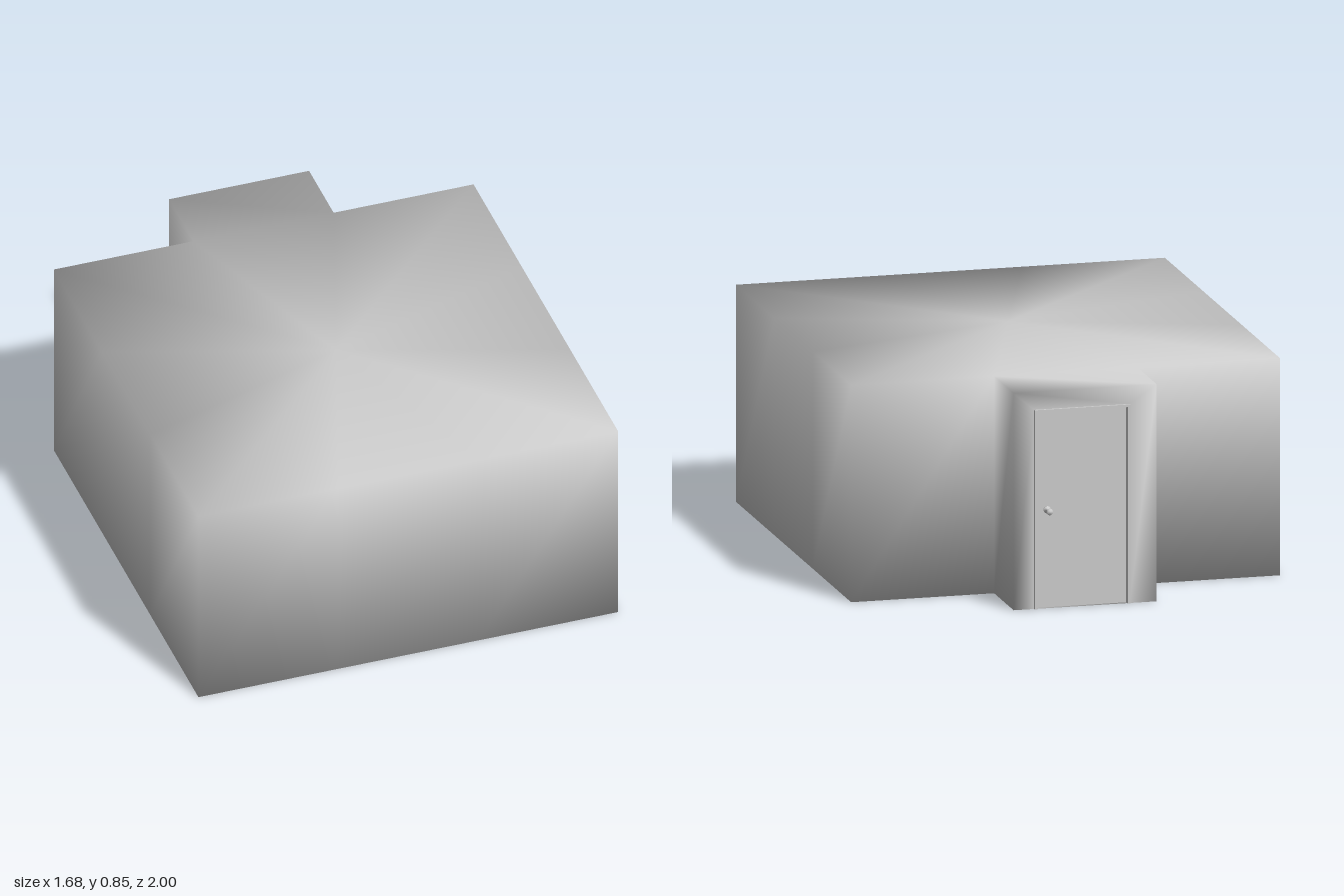
import * as THREE from 'three';
import { mergeVertices } from 'three/addons/utils/BufferGeometryUtils.js';

const H = 0.845, W = 0.84, T = 0.28;      // height, half width, porch half width
const FRONT = 1, BACK = -0.68, PORCH = -0.965;
const DOOR = { l: 0.2, r: -0.175, top: 0.775 };
const grey = new THREE.MeshStandardMaterial({ color: 0xcccccc });
const shellMat = new THREE.MeshStandardMaterial({ color: 0xcccccc, side: THREE.DoubleSide });

function add(parent, name, geometry, x = 0, y = 0, z = 0, material = grey) {
  const mesh = new THREE.Mesh(geometry, material);
  mesh.name = name;
  mesh.position.set(x, y, z);
  parent.add(mesh);
  return mesh;
}

// Room and porch as one closed shell with shared, smooth corner normals
function shellGeometry() {
  const pos = [];
  const tri = (a, b, c) => pos.push(...a, ...b, ...c);
  const quad = (a, b, c, d) => { tri(a, b, c); tri(a, c, d); };
  const at = ([x, z], y) => [x, y, z];
  const wall = (p, q) => quad(at(p, 0), at(q, 0), at(q, H), at(p, H));

  // Room outline, each side in thirds
  const corners = [[-W, FRONT], [W, FRONT], [W, BACK], [-W, BACK]];
  const outline = [];
  corners.forEach((c, i) => {
    const n = corners[(i + 1) % 4];
    for (let k = 0; k < 3; k++) {
      outline.push([c[0] + (n[0] - c[0]) * k / 3, c[1] + (n[1] - c[1]) * k / 3]);
    }
  });

  // Walls, with roof and floor fanned from the centre
  const mid = [0, (FRONT + BACK) / 2];
  outline.forEach((p, i) => {
    const q = outline[(i + 1) % 12];
    if (i !== 7) wall(p, q);              // the middle of the back opens to the porch
    tri(at(mid, H), at(p, H), at(q, H));
    tri(at(mid, 0), at(q, 0), at(p, 0));
  });

  // Porch sides, roof and floor
  const a = outline[7], b = [T, PORCH], c = [-T, PORCH], d = outline[8];
  wall(a, b);
  wall(c, d);
  quad(at(a, H), at(b, H), at(c, H), at(d, H));
  quad(at(d, 0), at(c, 0), at(b, 0), at(a, 0));

  // Porch back wall around the door opening
  const l = [DOOR.l, PORCH], r = [DOOR.r, PORCH];
  quad(at(b, 0), at(l, 0), at(l, DOOR.top), at(b, H));
  quad(at(b, H), at(l, DOOR.top), at(r, DOOR.top), at(c, H));
  quad(at(r, 0), at(c, 0), at(c, H), at(r, DOOR.top));

  const g = new THREE.BufferGeometry();
  g.setAttribute('position', new THREE.Float32BufferAttribute(pos, 3));
  const merged = mergeVertices(g, 1e-4);
  merged.computeVertexNormals();
  return merged;
}

export function createModel() {
  const model = new THREE.Group();
  model.name = 'roomWithPorch';
  add(model, 'roomShell', shellGeometry(), 0, 0, 0, shellMat);

  const door = new THREE.Group();
  door.name = 'door';
  model.add(door);

  // Thin door frame, standing slightly proud of the wall
  const rim = 0.01, { l, r, top } = DOOR;
  const frame = new THREE.Shape([
    [r, 0], [r + rim, 0], [r + rim, top - rim], [l - rim, top - rim],
    [l - rim, 0], [l, 0], [l, top], [r, top],
  ].map(([x, y]) => new THREE.Vector2(x, y)));
  add(door, 'doorFrame', new THREE.ExtrudeGeometry(frame, { depth: 0.045, bevelEnabled: false }), 0, 0, -0.975);

  // Recessed door leaf
  add(door, 'doorLeaf', new THREE.BoxGeometry(l - r - rim, top - rim, 0.012), (l + r) / 2, (top - rim) / 2, -0.944);

  // Rose, stem and knob turned as one piece
  const profile = [[0, 0], [0.014, 0], [0.014, 0.004], [0.006, 0.008], [0.006, 0.03],
    [0.011, 0.034], [0.013, 0.041], [0.01, 0.048], [0, 0.05]];
  const knob = new THREE.LatheGeometry(profile.map(([x, y]) => new THREE.Vector2(x, y)), 20);
  add(door, 'doorKnob', knob, 0.145, 0.38, -0.95).rotation.x = -Math.PI / 2;

  return model;
}
